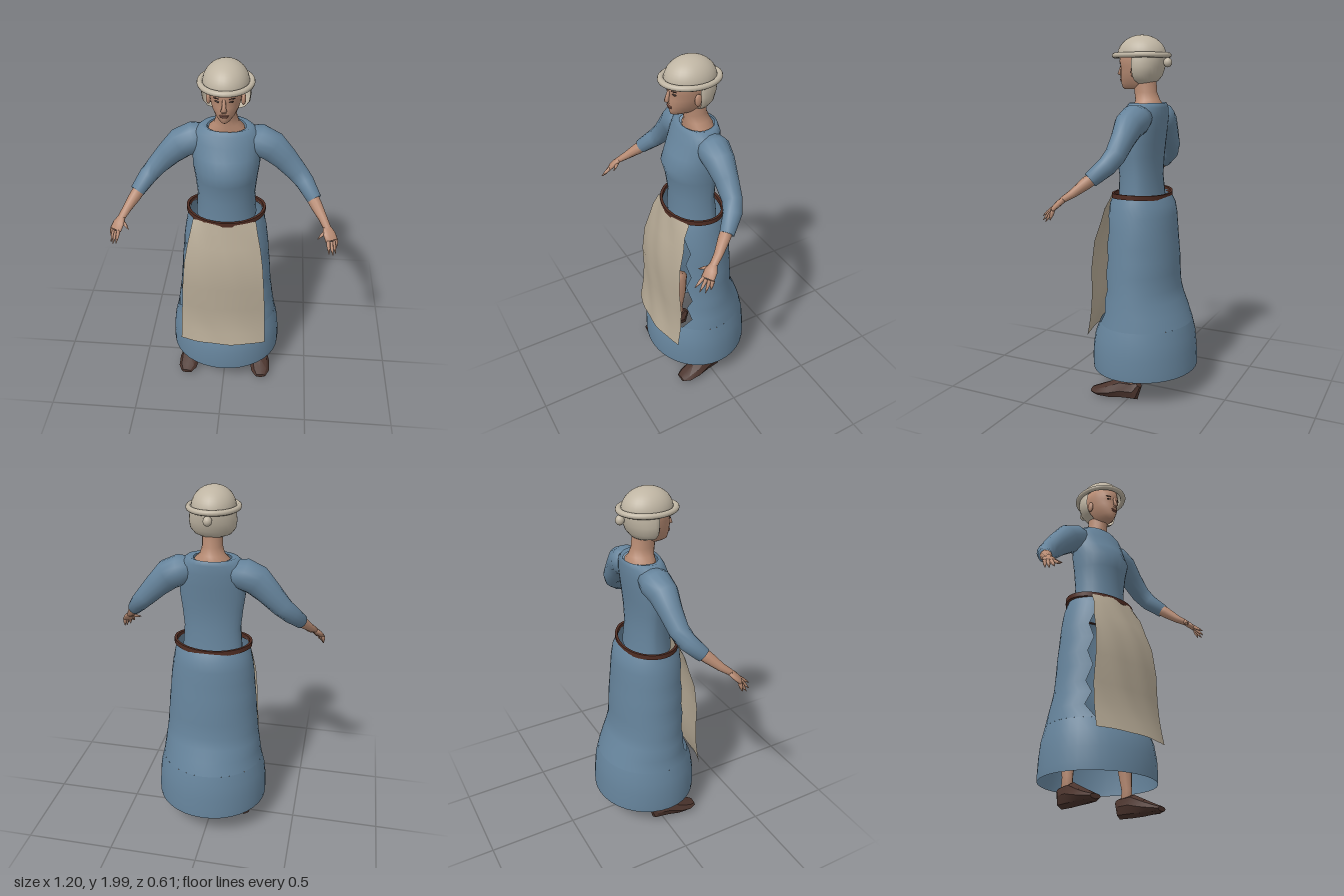
import * as THREE from 'three';
import { toCreasedNormals } from 'three/addons/utils/BufferGeometryUtils.js';

const V = (x, y, z) => new THREE.Vector3(x, y, z);
const mat = (name, color, side = THREE.FrontSide) => {
  const m = new THREE.MeshStandardMaterial({ color, side });
  m.name = name;
  return m;
};

// Skin a list of point rings; closed joins each ring to itself, caps fill the ends.
function loft(rings, closed = true, caps = false) {
  const n = rings[0].length, pos = [], idx = [];
  rings.forEach(r => r.forEach(p => pos.push(p.x, p.y, p.z)));
  for (let i = 0; i < rings.length - 1; i++) {
    for (let j = 0; j < (closed ? n : n - 1); j++) {
      const a = i * n + j, b = i * n + (j + 1) % n;
      idx.push(a, b, a + n, b, b + n, a + n);
    }
  }
  if (caps) {
    [0, rings.length - 1].forEach((k, end) => {
      const c = rings[k].reduce((s, p) => s.add(p), V(0, 0, 0)).divideScalar(n);
      const ci = pos.length / 3;
      pos.push(c.x, c.y, c.z);
      for (let j = 0; j < n; j++) {
        const a = k * n + j, b = k * n + (j + 1) % n;
        if (end) idx.push(ci, a, b); else idx.push(ci, b, a);
      }
    });
  }
  const g = new THREE.BufferGeometry();
  g.setAttribute('position', new THREE.Float32BufferAttribute(pos, 3));
  g.setIndex(idx);
  g.computeVertexNormals();
  return g;
}

// Horizontal oval with separate front and back depth; t0..t1 is measured from the front.
function oval([y, rx, zf, zb], zc = 0, n = 28, t0 = 0, t1 = Math.PI * 2) {
  const full = t1 - t0 > 6.28, pts = [];
  for (let j = 0; j < (full ? n : n + 1); j++) {
    const t = t0 + (t1 - t0) * j / n, c = Math.cos(t);
    pts.push(V(rx * Math.sin(t), y, zc + c * (c > 0 ? zf - zc : zc - zb)));
  }
  return pts;
}

// Tapered limb through [x, y, z, halfWidth, halfHeight] stations.
function limb(st, sides = 10) {
  const p = st.map(s => V(s[0], s[1], s[2]));
  return loft(st.map((s, i) => {
    const T = p[Math.min(i + 1, p.length - 1)].clone().sub(p[Math.max(i - 1, 0)]).normalize();
    const ref = Math.abs(T.y) > 0.95 ? V(0, 0, 1) : V(0, 1, 0);
    const u = ref.cross(T).normalize(), v = T.clone().cross(u);
    return Array.from({ length: sides }, (_, j) => {
      const t = j / sides * Math.PI * 2;
      return p[i].clone().addScaledVector(u, s[3] * Math.cos(t)).addScaledVector(v, (s[4] ?? s[3]) * Math.sin(t));
    });
  }), true, true);
}

export function createModel() {
  const root = new THREE.Group();
  root.name = 'womanInApron';
  const blue = mat('dressBlue', 0x66849c, THREE.DoubleSide);
  const apronMat = mat('apronLinen', 0xb3a793, THREE.DoubleSide);
  const capMat = mat('capCream', 0xbfb5a3, THREE.DoubleSide);
  const skin = mat('skin', 0xb78b73);
  const leather = mat('beltBrown', 0x4f2c22);
  const shoeMat = mat('shoeBrown', 0x4b342d);
  const dark = mat('eyeDark', 0x3b2a24);
  const lip = mat('lip', 0x94604f);
  const add = (name, geo, m, parent = root) => {
    const mesh = new THREE.Mesh(geo, m);
    mesh.name = name;
    parent.add(mesh);
    return mesh;
  };
  const ball = (name, m, x, y, z, sx, sy, sz, parent = root) => {
    const b = add(name, new THREE.SphereGeometry(1, 16, 12), m, parent);
    b.position.set(x, y, z);
    b.scale.set(sx, sy, sz);
    return b;
  };

  // Bodice
  add('bodice', loft([
    [1.12, 0.165, 0.135, -0.11], [1.25, 0.155, 0.13, -0.095], [1.36, 0.166, 0.145, -0.1],
    [1.43, 0.176, 0.165, -0.107], [1.5, 0.178, 0.13, -0.117], [1.57, 0.18, 0.1, -0.125],
    [1.62, 0.165, 0.08, -0.126], [1.645, 0.13, 0.065, -0.122], [1.638, 0.1, 0.055, -0.115],
  ].map(r => oval(r, -0.015))), blue);

  // Skirt: a full hem, and an upper part left open behind the apron
  const hem = [[0.16, 0.32, 0.28, -0.31], [0.2, 0.322, 0.282, -0.31], [0.28, 0.319, 0.28, -0.305],
    [0.36, 0.31, 0.265, -0.297], [0.43, 0.293, 0.235, -0.28]];
  add('skirtHem', loft(hem.map(r => oval(r, 0, 36))), blue);
  const upper = [hem[4], [0.5, 0.282, 0.22, -0.255], [0.57, 0.272, 0.21, -0.225], [0.63, 0.264, 0.205, -0.207],
    [0.72, 0.256, 0.205, -0.202], [0.8, 0.25, 0.205, -0.2], [0.88, 0.242, 0.2, -0.193], [0.96, 0.235, 0.2, -0.187],
    [1.04, 0.224, 0.195, -0.182], [1.1, 0.212, 0.18, -0.172], [1.15, 0.195, 0.16, -0.145]];
  add('skirtUpper', loft(upper.map((r, i) => {
    const gap = i === 0 ? 0.72 : i > 8 ? 0.55 : 0.86 + (i % 2 ? 0.07 : -0.07);
    return oval(r, 0, 32, gap, Math.PI * 2 - gap);
  }), false), blue);

  // Apron: rows of y, half width, centre z, edge z
  const rows = [[0.36, 0.245, 0.277, 0.235], [0.43, 0.242, 0.258, 0.222], [0.5, 0.24, 0.246, 0.212],
    [0.6, 0.236, 0.238, 0.206], [0.75, 0.227, 0.243, 0.212], [0.9, 0.215, 0.232, 0.198],
    [1.0, 0.199, 0.203, 0.168], [1.08, 0.182, 0.18, 0.15], [1.145, 0.168, 0.162, 0.115]];
  add('apron', loft(rows.map(([y, w, zc, ze], i) => Array.from({ length: 13 }, (_, j) => {
    const u = j / 6 - 1;
    return V(u * w, y, zc + (ze - zc) * u * u + 0.004 * Math.sin(u * 7 + i * 1.3) * (1 - u * u));
  })), false), apronMat);

  // Belt: a flat band raised a little at the sides
  const beltRing = (y, d) => oval([y, 0.216 + d, 0.165 + d, -0.15 - d], 0, 36)
    .map(p => p.setY(p.y + 0.012 * (p.x / 0.216) ** 2));
  add('belt', toCreasedNormals(loft([[1.13, 0], [1.156, 0], [1.156, -0.014], [1.13, -0.014], [1.13, 0]]
    .map(([y, d]) => beltRing(y, d))), 0.7), leather);

  // Neck and head
  add('neck', loft([[1.6, 0.1, 0.04, -0.11], [1.635, 0.092, 0.045, -0.108], [1.66, 0.064, 0.043, -0.092],
    [1.7, 0.053, 0.05, -0.075], [1.77, 0.052, 0.06, -0.07]].map(r => oval(r, -0.02, 18))), skin);
  const head = new THREE.Group();
  head.name = 'head';
  root.add(head);
  add('face', loft([[1.716, 0.022, 0.112, 0.04], [1.724, 0.036, 0.124, 0.01], [1.745, 0.053, 0.129, -0.03],
    [1.775, 0.067, 0.133, -0.06], [1.805, 0.076, 0.132, -0.085], [1.838, 0.081, 0.13, -0.1],
    [1.865, 0.084, 0.138, -0.108], [1.92, 0.08, 0.125, -0.1]].map(r => oval(r, 0.02, 24)), true, true), skin, head);
  add('nose', limb([[0, 1.852, 0.128, 0.008, 0.006], [0, 1.815, 0.139, 0.01, 0.01],
    [0, 1.797, 0.143, 0.016, 0.012], [0, 1.785, 0.134, 0.012, 0.006]], 8), skin, head);
  ball('upperLip', lip, 0, 1.768, 0.13, 0.025, 0.004, 0.006, head);
  ball('lowerLip', lip, 0, 1.76, 0.129, 0.02, 0.005, 0.006, head);
  for (const s of [-1, 1]) {
    ball('eye', dark, s * 0.034, 1.836, 0.119, 0.013, 0.005, 0.004, head).rotation.y = s * 0.4;
    ball('eyebrow', dark, s * 0.036, 1.854, 0.122, 0.019, 0.003, 0.004, head).rotation.y = s * 0.4;
    ball('ear', skin, s * 0.086, 1.805, 0.015, 0.012, 0.032, 0.02, head);
  }

  // Cap: dome, rolled rim, nape wrap and knot
  const cap = new THREE.Group();
  cap.name = 'cap';
  root.add(cap);
  const dome = add('capDome', new THREE.SphereGeometry(1, 28, 12, 0, Math.PI * 2, 0, Math.PI / 2), capMat, cap);
  dome.position.set(0, 1.89, 0.011);
  dome.scale.set(0.115, 0.11, 0.135);
  const rim = add('capRim', new THREE.TorusGeometry(0.127, 0.0145, 10, 36), capMat, cap);
  rim.rotation.x = Math.PI / 2;
  rim.scale.set(1, 1.16, 1);
  rim.position.set(0, 1.893, 0.012);
  add('capNape', loft([[1.745, 0.05, 0.02, -0.055], [1.762, 0.096, 0.04, -0.078], [1.79, 0.118, 0.05, -0.1],
    [1.83, 0.124, 0.055, -0.114], [1.865, 0.12, 0.06, -0.122], [1.895, 0.114, 0.06, -0.124]]
    .map(r => oval(r, 0, 20, 1.25, Math.PI * 2 - 1.25)), false), capMat, cap);
  ball('capKnot', capMat, 0, 1.855, -0.14, 0.023, 0.025, 0.023, cap);

  for (const s of [-1, 1]) {
    const side = s > 0 ? 'left' : 'right';
    const m = st => st.map(([x, ...r]) => [x * s, ...r]);

    // Arm
    const arm = new THREE.Group();
    arm.name = side + 'Arm';
    root.add(arm);
    add('sleeve', limb(m([[0.1, 1.575, -0.03, 0.07, 0.06], [0.165, 1.56, -0.028, 0.085, 0.083],
      [0.235, 1.528, -0.022, 0.075, 0.082], [0.3, 1.465, -0.02, 0.06, 0.068], [0.37, 1.39, -0.012, 0.052, 0.056],
      [0.415, 1.342, 0.012, 0.048, 0.05], [0.468, 1.278, 0.075, 0.038, 0.04]]), 14), blue, arm);
    add('forearm', limb(m([[0.44, 1.305, 0.045, 0.033], [0.475, 1.262, 0.095, 0.032],
      [0.515, 1.212, 0.15, 0.024, 0.022], [0.54, 1.18, 0.195, 0.021, 0.016]])), skin, arm);
    add('palm', limb(m([[0.535, 1.186, 0.187, 0.021, 0.015], [0.55, 1.162, 0.212, 0.035, 0.015],
      [0.564, 1.135, 0.237, 0.036, 0.012]])), skin, arm);
    [[0.586, 1.132, 0.222, 0.592, 1.085, 0.236], [0.573, 1.132, 0.232, 0.589, 1.074, 0.264],
      [0.56, 1.133, 0.242, 0.574, 1.078, 0.288], [0.546, 1.137, 0.247, 0.552, 1.095, 0.302],
      [0.53, 1.168, 0.205, 0.492, 1.148, 0.247]].forEach(([a, b, c, x, y, z]) =>
      add('finger', limb(m([[a, b, c, 0.011], [(a + x) / 2, (b + y) / 2, (c + z) / 2, 0.009], [x, y, z, 0.002]]), 6), skin, arm));

    // Leg and shoe
    add(side + 'Leg', limb(m([[0.208, 0.09, -0.012, 0.026, 0.034], [0.208, 0.16, -0.008, 0.024, 0.032],
      [0.2, 0.3, -0.015, 0.04, 0.045], [0.185, 0.45, -0.01, 0.045, 0.05]])), skin);
    add(side + 'Shoe', toCreasedNormals(limb(m([[0.203, 0.105, -0.064, 0.022, 0.02], [0.204, 0.07, -0.035, 0.042, 0.06],
      [0.21, 0.07, 0.035, 0.05, 0.06], [0.219, 0.052, 0.11, 0.061, 0.042], [0.226, 0.04, 0.175, 0.054, 0.025],
      [0.229, 0.037, 0.213, 0.032, 0.013]]), 8), 0.5), shoeMat);
  }
  return root;
}
